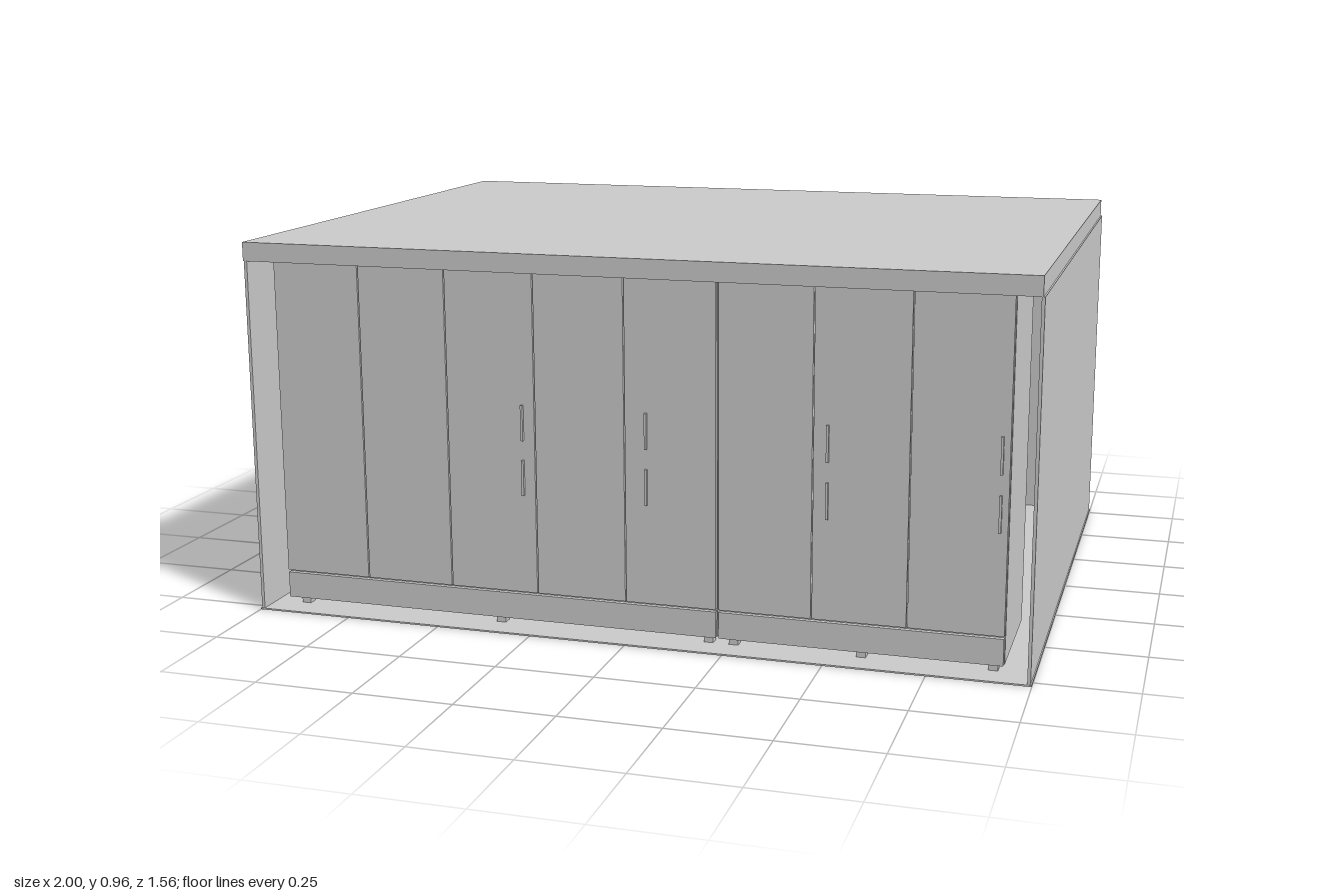
import * as THREE from 'three';

export function createModel() {
  const model = new THREE.Group();
  const mat = new THREE.MeshStandardMaterial({ color: 0xcccccc, flatShading: true });

  // Box given by its extents on each axis
  const box = (name, [x0, x1], [y0, y1], [z0, z1], parent = model) => {
    const mesh = new THREE.Mesh(new THREE.BoxGeometry(x1 - x0, y1 - y0, z1 - z0), mat);
    mesh.name = name;
    mesh.position.set((x0 + x1) / 2, (y0 + y1) / 2, (z0 + z1) / 2);
    parent.add(mesh);
    return mesh;
  };

  // Thin room shell, open at the front, with a thick ceiling slab
  const floorTop = 0.004, ceiling = 0.917;
  box('floor', [-1, 1], [0, floorTop], [-0.778, 0.778]);
  box('ceilingSlab', [-1, 0.993], [ceiling, 0.965], [-0.775, 0.775]);
  box('backWall', [-0.997, 0.997], [floorTop, ceiling], [-0.778, -0.77]);
  box('leftWall', [0.989, 0.997], [floorTop, ceiling], [-0.77, 0.776]);
  box('rightWall', [-0.997, -0.989], [floorTop, ceiling], [-0.77, 0.776]);

  // Two wardrobes standing side by side just inside the opening
  const front = 0.742, thick = 0.012, back = 0.4, gap = 0.003;
  const base = 0.03, plinthTop = 0.1;
  const addWardrobe = (name, x0, x1, doors) => {
    const group = new THREE.Group();
    group.name = name;
    model.add(group);
    const inside = [back, front - thick - 0.002];
    box('sidePanel', [x0, x0 + thick], [base, ceiling], inside, group);
    box('sidePanel', [x1 - thick, x1], [base, ceiling], inside, group);
    box('backPanel', [x0 + thick, x1 - thick], [base, ceiling], [back, back + thick], group);
    box('bottomPanel', [x0 + thick, x1 - thick], [plinthTop - thick, plinthTop], [back + thick, inside[1]], group);
    box('plinth', [x0 + 0.002, x1 - 0.002], [base, plinthTop - gap], [front - thick, front], group);
    const w = (x1 - x0) / doors;
    for (let i = 0; i < doors; i++) {
      const left = x0 + i * w;
      box('door', [left + gap / 2, left + w - gap / 2], [plinthTop + gap, ceiling - gap], [front - thick, front], group);
    }
    // Recessed side feet under the plinth
    for (const x of [x0 + 0.03, (x0 + x1) / 2, x1 - 0.03])
      box('foot', [x - 0.012, x + 0.012], [floorTop, base], [front - 0.06, front - 0.036], group);
  };
  addWardrobe('wideWardrobe', -0.935, 0.227, 5);
  addWardrobe('narrowWardrobe', 0.231, 0.93, 3);

  // Slim upright pulls, in stacked pairs
  for (const x of [-0.27, 0.05, 0.5, 0.91])
    for (const y of [0.4, 0.54])
      box('handle', [x - 0.003, x + 0.003], [y - 0.045, y + 0.045], [front, front + 0.008]);

  return model;
}
